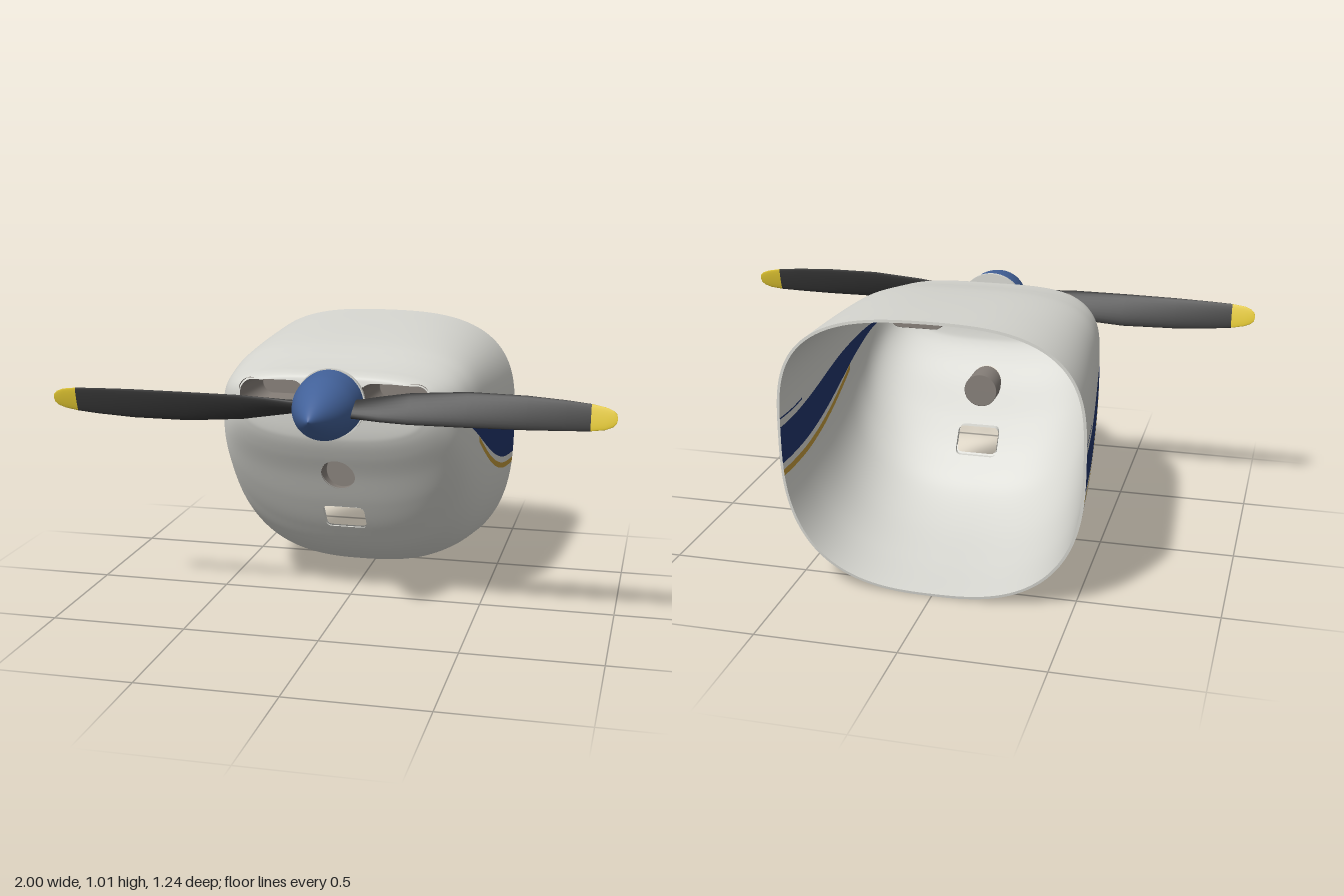
import * as THREE from 'three';

const mat = (name, color, side = THREE.FrontSide) => {
  const m = new THREE.MeshStandardMaterial({ color, side });
  m.name = name;
  return m;
};
const V = (x, y, z) => new THREE.Vector3(x, y, z);
const WALL = 0.01;

// Skin between closed rings of equal length
function loft(rings) {
  const n = rings[0].length, pos = [], idx = [];
  rings.forEach(r => r.forEach(p => pos.push(p.x, p.y, p.z)));
  for (let i = 0; i < rings.length - 1; i++) {
    for (let j = 0; j < n; j++) {
      const a = i * n + j, b = i * n + (j + 1) % n;
      idx.push(a, b, a + n, b, b + n, a + n);
    }
  }
  const g = new THREE.BufferGeometry();
  g.setAttribute('position', new THREE.Float32BufferAttribute(pos, 3));
  g.setIndex(idx);
  g.computeVertexNormals();
  return g;
}

// Split polygons along f = 0 into [inside (f > 0), outside]
function cut(polys, f) {
  const inside = [], outside = [];
  for (const poly of polys) {
    const s = poly.map(v => f(v.p));
    if (s.every(d => d >= 0)) { inside.push(poly); continue; }
    if (s.every(d => d <= 0)) { outside.push(poly); continue; }
    const a = [], b = [];
    poly.forEach((v, i) => {
      const k = (i + 1) % poly.length, w = poly[k];
      if (s[i] >= 0) a.push(v);
      if (s[i] <= 0) b.push(v);
      if (s[i] * s[k] < 0) {
        const t = s[i] / (s[i] - s[k]);
        const m = { p: v.p.clone().lerp(w.p, t), n: v.n.clone().lerp(w.n, t).normalize() };
        a.push(m);
        b.push(m);
      }
    });
    inside.push(a);
    outside.push(b);
  }
  return [inside, outside];
}

// Keep the part inside all functions, and return what is left over
function carve(polys, fns) {
  let take = polys, out;
  const rest = [];
  for (const f of fns) {
    [take, out] = cut(take, f);
    for (const p of out) rest.push(p);
  }
  return [take, rest];
}

// Outer faces plus matching inner faces one wall thickness behind them
const innerPoint = v => v.p.clone().addScaledVector(v.n, -WALL);
function wallGeometry(polys) {
  const pos = [], nor = [];
  for (const q of polys) {
    for (let i = 1; i < q.length - 1; i++) {
      for (const v of [q[0], q[i], q[i + 1]]) {
        pos.push(...v.p);
        nor.push(...v.n);
      }
      for (const v of [q[0], q[i + 1], q[i]]) {
        pos.push(...innerPoint(v));
        nor.push(-v.n.x, -v.n.y, -v.n.z);
      }
    }
  }
  const g = new THREE.BufferGeometry();
  g.setAttribute('position', new THREE.Float32BufferAttribute(pos, 3));
  g.setAttribute('normal', new THREE.Float32BufferAttribute(nor, 3));
  return g;
}

// Cowling stations, rear to front: z, top, bottom, half width, height of widest point, squareness of the top
const STATIONS = [
  [-0.604, 1.012, 0, 0.54, 0.56, 3.4], [-0.4, 1.001, 0.034, 0.523, 0.57, 3.6], [-0.2, 0.986, 0.085, 0.502, 0.6, 3.8],
  [-0.05, 0.97, 0.165, 0.484, 0.648, 3.8], [0.05, 0.953, 0.276, 0.468, 0.68, 3.7], [0.13, 0.937, 0.396, 0.451, 0.71, 3.6],
  [0.2, 0.925, 0.522, 0.422, 0.742, 3.5], [0.25, 0.918, 0.604, 0.385, 0.77, 3.5], [0.28, 0.908, 0.661, 0.345, 0.79, 3.5],
  [0.291, 0.887, 0.7, 0.302, 0.8, 3.4], [0.298, 0.85, 0.77, 0.15, 0.81, 3], [0.3, 0.822, 0.818, 0.005, 0.82, 2.7],
];
const CROWN = 0.03;

function cowlingShell() {
  const curve = f => new THREE.CatmullRomCurve3(STATIONS.map(f), false, 'catmullrom', 0.5);
  const heights = curve(s => V(s[0], s[1], s[2])), widths = curve(s => V(s[3], s[4], s[5]));
  const rings = [], rows = 110, cols = 220;
  for (let i = 0; i <= rows; i++) {
    const h = heights.getPoint(i / rows), w = widths.getPoint(i / rows), ring = [];
    const rearness = THREE.MathUtils.clamp((0.2 - h.x) / 0.8, 0, 1);
    for (let j = 0; j < cols; j++) {
      const a = j / cols * Math.PI * 2, c = Math.cos(a), s = Math.sin(a), n = s > 0 ? w.z : 2.7;
      const r = (Math.abs(c) ** n + Math.abs(s) ** n) ** (-1 / n);
      const arch = s > 0 ? CROWN * rearness * (r * c) ** 2 * r * s : 0;
      const y = w.y + r * s * (s > 0 ? h.y - w.y : w.y - h.z) - arch;
      ring.push(V(w.x * r * c, y, h.x - (y - 0.5) * rearness * 0.032));
    }
    rings.push(ring);
  }
  const g = loft(rings), P = g.attributes.position, N = g.attributes.normal, I = g.index.array, polys = [];
  const verts = Array.from({ length: P.count }, (_, i) => ({
    p: V().fromBufferAttribute(P, i), n: V().fromBufferAttribute(N, i),
  }));
  for (let i = 0; i < I.length; i += 3) polys.push([verts[I[i]], verts[I[i + 1]], verts[I[i + 2]]]);
  return { polys, rear: verts.slice(0, cols) };
}

// Smooth stripe edge through heights at z = 0.2, 0.1, 0 ... -0.6
const edge = ys => {
  const curve = new THREE.SplineCurve(ys.map((y, i) => new THREE.Vector2(i, y)));
  return z => curve.getPoint(THREE.MathUtils.clamp((0.2 - z) * 10 / (ys.length - 1), 0, 1)).y;
};
const band = (top, bottom, zStart) => [
  p => zStart - p.z, p => top(p.z) - p.y, p => p.y - bottom(p.z),
];
const blueBand = band(edge([0.764, 0.751, 0.731, 0.708, 0.678, 0.645, 0.617, 0.598, 0.59]),
  edge([0.761, 0.715, 0.662, 0.604, 0.551, 0.508, 0.478, 0.462, 0.455]), 0.192);
const goldLine = edge([0.78, 0.72, 0.655, 0.582, 0.52, 0.474, 0.443, 0.427, 0.42]);
const goldBand = band(z => goldLine(z) + 0.011, z => goldLine(z) - 0.011, -0.03);
const pinLine = edge([0.8, 0.8, 0.78, 0.745, 0.715, 0.682, 0.645, 0.627, 0.622]);
const pinBand = band(z => pinLine(z) + 0.003, z => pinLine(z) - 0.003, -0.43);

// Rounded openings in the front: centre, half size, corner radius
const intake = side => ({
  x: side * 0.223, y: 0.832, w: 0.126, h: 0.057, r: 0.05,
  z: x => 0.286 - 0.25 * Math.max(0, side * x - 0.27), back: 0.03, shrink: 0.85,
});
const OPENINGS = {
  rightIntake: intake(-1),
  leftIntake: intake(1),
  roundInlet: { x: 0, y: 0.525, w: 0.063, h: 0.063, r: 0.063, z: (x, y) => 0.196 + (y - 0.525) * 0.6, back: 0.12, shrink: 1 },
  chinSlot: { x: 0, y: 0.337, w: 0.079, h: 0.048, r: 0.02, z: (x, y) => 0.092 + (y - 0.337) * 0.68, shrink: 1 },
};
const openingField = o => p => {
  const dx = Math.abs(p.x - o.x) - o.w + o.r, dy = Math.abs(p.y - o.y) - o.h + o.r;
  return o.r - Math.hypot(Math.max(dx, 0), Math.max(dy, 0)) - Math.min(Math.max(dx, dy), 0);
};

// Duct walls behind an opening, closed at the back where it has a back plate
function duct(o) {
  const ring = (k, zAt) => Array.from({ length: 48 }, (_, i) => {
    const a = (i + 0.5) / 48 * Math.PI * 2, c = Math.cos(a), s = Math.sin(a);
    const x = o.x + k * (Math.sign(c) * (o.w - o.r) + c * o.r);
    const y = o.y + k * (Math.sign(s) * (o.h - o.r) + s * o.r);
    return V(x, y, zAt(x, y));
  });
  if (o.back === undefined) return loft([ring(1, (x, y) => o.z(x, y) - 0.025), ring(1, o.z)]);
  const back = () => o.back;
  return loft([ring(0.001, back), ring(o.shrink * 0.97, back), ring(o.shrink, back), ring(1, o.z)]);
}

// Blade sections: x, low edge, high edge, half sweep in z, half thickness
const BLADE = [
  [0.05, 0.8, 0.84, 0.028, 0.02], [0.12, 0.795, 0.847, 0.032, 0.017], [0.2, 0.788, 0.863, 0.033, 0.015],
  [0.3, 0.783, 0.88, 0.031, 0.013], [0.5, 0.782, 0.895, 0.025, 0.01], [0.7, 0.783, 0.893, 0.018, 0.008],
  [0.83, 0.786, 0.885, 0.014, 0.006], [0.912, 0.789, 0.877, 0.011, 0.005], [0.96, 0.795, 0.868, 0.009, 0.004],
  [0.985, 0.805, 0.858, 0.006, 0.003], [0.996, 0.816, 0.848, 0.004, 0.002], [1, 0.83, 0.833, 0.001, 0.001],
];
const bladeRing = ([x, lo, hi, dz, t]) => Array.from({ length: 24 }, (_, i) => {
  const a = i / 24 * Math.PI * 2, c = Math.cos(a), s = Math.sin(a);
  const hy = (hi - lo) / 2, len = Math.hypot(hy, dz);
  return V(x, (lo + hi) / 2 - 0.82 + c * hy + s * t * dz / len, -c * dz + s * t * hy / len);
});

export function createModel() {
  const model = new THREE.Group();
  model.name = 'aircraftNose';
  const D = THREE.DoubleSide;
  const paint = mat('light grey paint', 0xd6d6d0, D), lining = mat('duct lining', 0x857e78, D);
  const blue = mat('navy stripe', 0x21346a), gold = mat('gold stripe', 0xc0983a);
  const spinnerBlue = mat('spinner blue', 0x426199), black = mat('blade black', 0x363636);
  const yellow = mat('tip yellow', 0xe3c832);
  const add = (parent, name, geometry, material) => {
    const m = new THREE.Mesh(geometry, material);
    m.name = name;
    parent.add(m);
    return m;
  };

  // Cowling wall with openings and painted bands, open at the rear
  let { polys: shell, rear } = cowlingShell(), stripe, pin, trim;
  for (const o of Object.values(OPENINGS)) shell = cut(shell, openingField(o))[1];
  [stripe, shell] = carve(shell, blueBand);
  [trim, shell] = carve(shell, goldBand);
  [pin, shell] = carve(shell, pinBand);
  add(model, 'cowling', wallGeometry(shell), paint);
  add(model, 'wideStripe', wallGeometry(stripe), blue);
  add(model, 'pinStripe', wallGeometry(pin), blue);
  add(model, 'goldStripe', wallGeometry(trim), gold);
  add(model, 'rearRim', loft([rear.map(innerPoint), rear.map(v => v.p)]), paint);

  // Ducts behind the openings
  for (const [name, o] of Object.entries(OPENINGS)) add(model, name, duct(o), o.back === undefined ? paint : lining);

  // Propeller: back plate, spinner and two blades
  const plate = add(model, 'backPlate', new THREE.CylinderGeometry(0.125, 0.125, 0.014, 64), paint);
  plate.rotation.x = Math.PI / 2;
  plate.position.set(0, 0.815, 0.305);
  const profile = new THREE.SplineCurve([[0.12, 0], [0.119, 0.04], [0.112, 0.1], [0.096, 0.155], [0.074, 0.205],
    [0.045, 0.255], [0.018, 0.292], [0, 0.308]].map(p => new THREE.Vector2(...p))).getPoints(40);
  const spinner = add(model, 'spinner', new THREE.LatheGeometry(profile, 64), spinnerBlue);
  spinner.rotation.x = Math.PI / 2;
  spinner.position.set(0, 0.816, 0.312);
  for (const [name, turn] of [['leftBlade', 0], ['rightBlade', Math.PI]]) {
    const blade = new THREE.Group();
    blade.name = name;
    add(blade, 'bladeBody', loft(BLADE.slice(0, 8).map(bladeRing)), black);
    add(blade, 'bladeTip', loft(BLADE.slice(7).map(bladeRing)), yellow);
    blade.position.set(0, 0.82, 0.408);
    blade.rotation.z = turn;
    model.add(blade);
  }
  return model;
}
